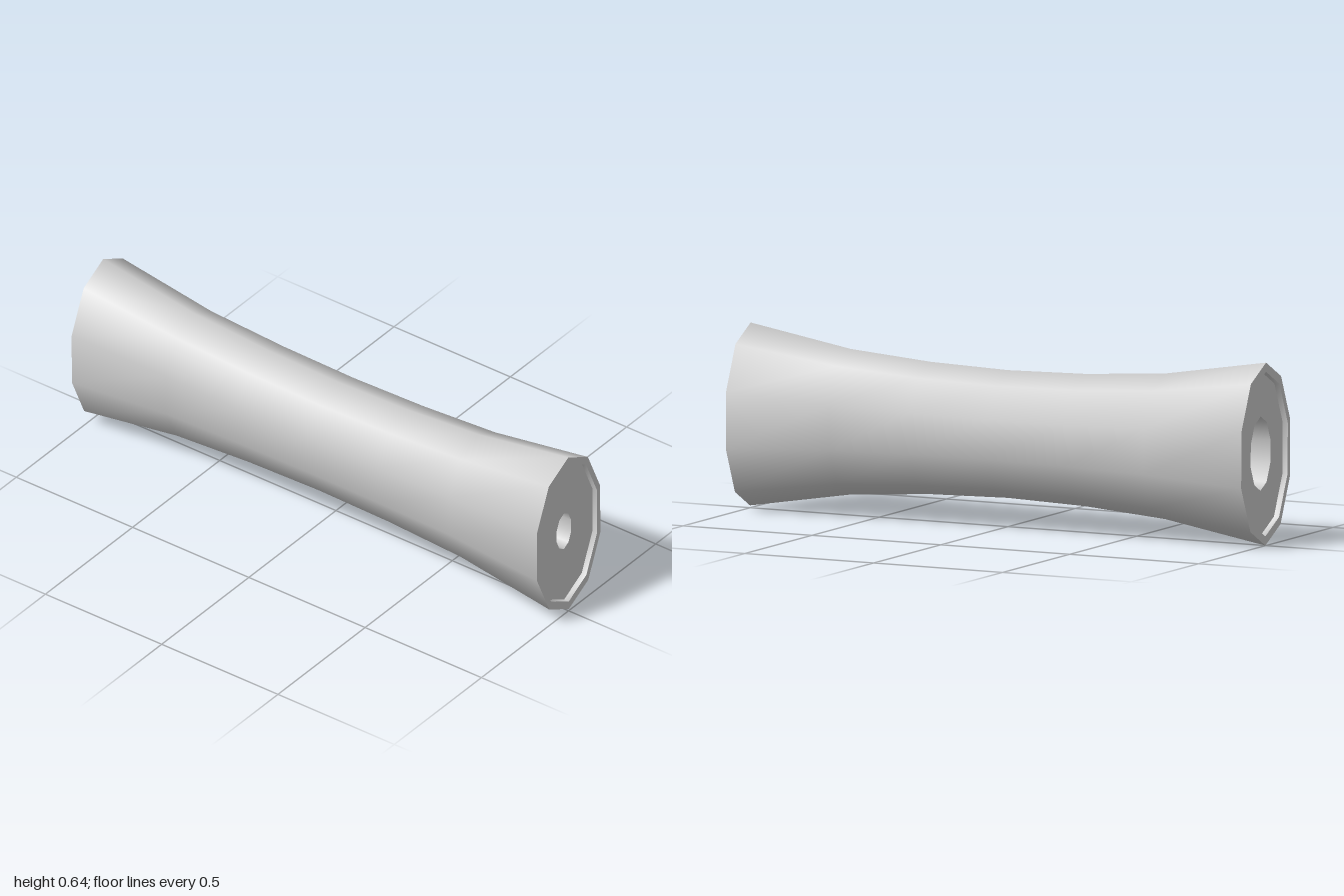
import * as THREE from 'three';

const SIDES = 10;
const material = new THREE.MeshStandardMaterial({ color: 0xcccccc });

// Lofts a surface through ten-sided oval rings, each given as [x, half height, half depth]
function loft(name, rings) {
  const positions = [];
  const index = [];
  rings.forEach(([x, ry, rz], j) => {
    for (let i = 0; i < SIDES; i++) {
      const a = (i / SIDES) * Math.PI * 2;
      positions.push(x, ry * Math.cos(a), rz * Math.sin(a));
      if (j === rings.length - 1) continue;
      const p = j * SIDES + i;
      const p1 = j * SIDES + ((i + 1) % SIDES);
      index.push(p, p1, p + SIDES, p1, p1 + SIDES, p + SIDES);
    }
  });
  const geometry = new THREE.BufferGeometry();
  geometry.setAttribute('position', new THREE.Float32BufferAttribute(positions, 3));
  geometry.setIndex(index);
  geometry.computeVertexNormals();
  const mesh = new THREE.Mesh(geometry, material);
  mesh.name = name;
  return mesh;
}

export function createModel() {
  const handle = new THREE.Group();
  handle.name = 'handle';

  // Waisted grip, flared towards both ends
  const half = [[0, 0.222, 0.171], [0.3, 0.23, 0.171], [0.61, 0.253, 0.171], [1, 0.318, 0.191]];
  const mirrored = half.slice(1).reverse().map(([x, ry, rz]) => [-x, ry, rz]);
  handle.add(loft('grip', [...mirrored, ...half]));

  // Each end: flat rim, shallow recess wall and recessed face with a hole
  const floorX = 0.98;
  const bore = { 1: [0.074, 0.044], [-1]: [0.129, 0.077] };
  for (const s of [1, -1]) {
    const label = s > 0 ? 'left' : 'right';
    const steps = [
      [s, 0.318, 0.191],
      [s, 0.286, 0.172],
      [s * floorX, 0.286, 0.172],
      [s * floorX, ...bore[s]],
    ];
    ['Rim', 'RecessWall', 'EndFace'].forEach((part, k) => {
      const pair = [steps[k], steps[k + 1]];
      handle.add(loft(label + part, s > 0 ? pair : pair.reverse()));
    });
  }

  // Tapered bore running the full length
  handle.add(loft('bore', [[floorX, ...bore[1]], [-floorX, ...bore[-1]]]));

  // The handle rests very slightly tilted
  handle.position.y = 0.322;
  handle.rotation.z = 0.004;

  const model = new THREE.Group();
  model.name = 'model';
  model.add(handle);
  return model;
}
